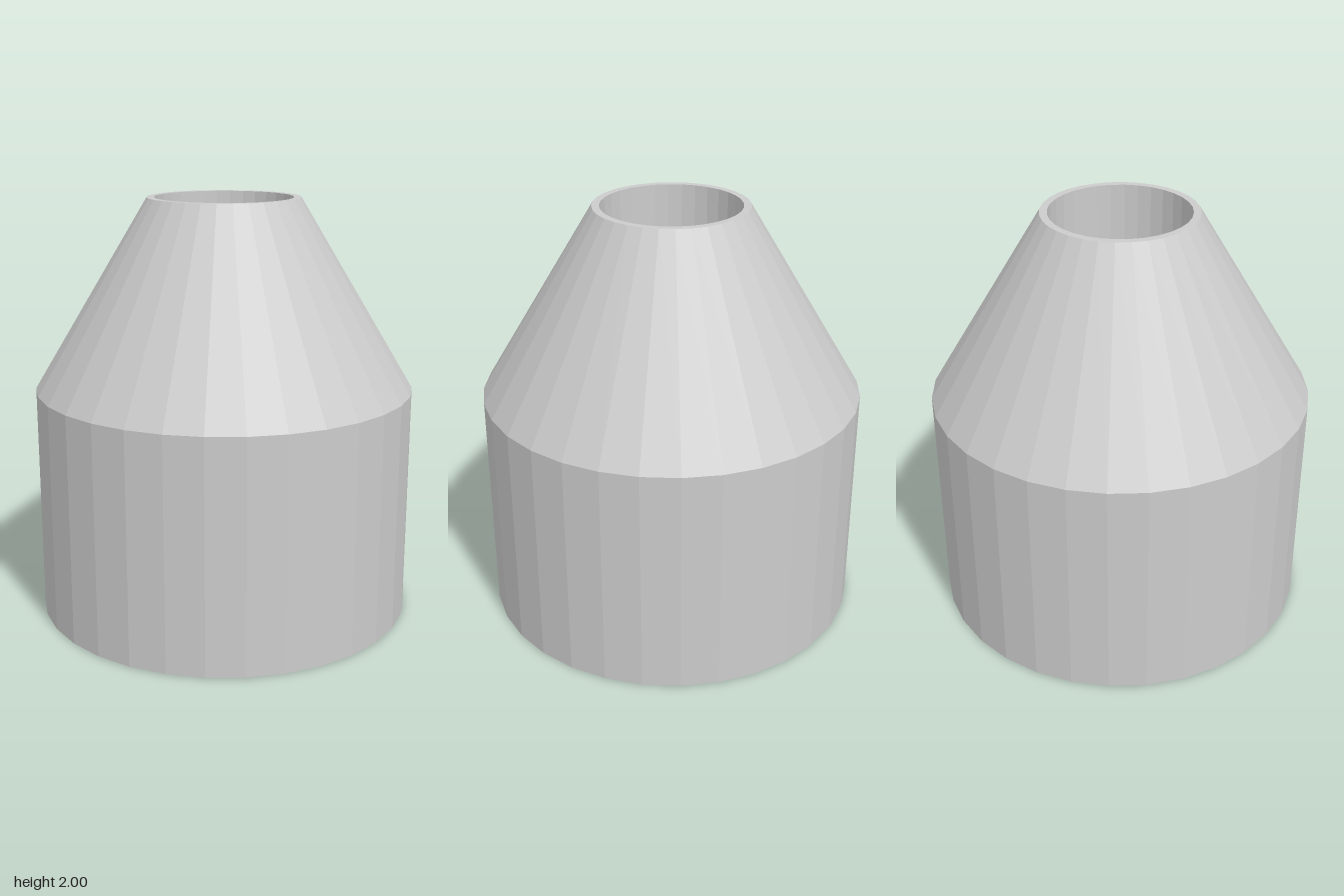
import * as THREE from 'three';

const SIDES = 32;
const BASE_R = 0.907, NECK_R = 0.363, BORE_R = 0.328;
const SHOULDER_Y = 1.1, TOP_Y = 2, FLOOR_Y = 1.1;

export function createModel() {
  const model = new THREE.Group();
  model.name = 'taperedBottle';
  const material = new THREE.MeshStandardMaterial({ color: 0xcccccc, flatShading: true });

  // Revolve a list of [radius, height] pairs around the vertical axis
  const addLathe = (name, profile) => {
    const points = profile.map(([r, y]) => new THREE.Vector2(r, y));
    const mesh = new THREE.Mesh(new THREE.LatheGeometry(points, SIDES), material);
    mesh.name = name;
    model.add(mesh);
  };

  // Closed base and straight cylindrical wall
  addLathe('body', [[0, 0], [BASE_R, 0], [BASE_R, SHOULDER_Y]]);
  // Sloping shoulder
  addLathe('shoulder', [[BASE_R, SHOULDER_Y], [NECK_R, TOP_Y]]);
  // Narrow flat lip around the mouth
  addLathe('rim', [[NECK_R, TOP_Y], [BORE_R, TOP_Y]]);
  // Straight round bore with a flat floor
  addLathe('bore', [[BORE_R, TOP_Y], [BORE_R, FLOOR_Y], [0, FLOOR_Y]]);

  return model;
}
